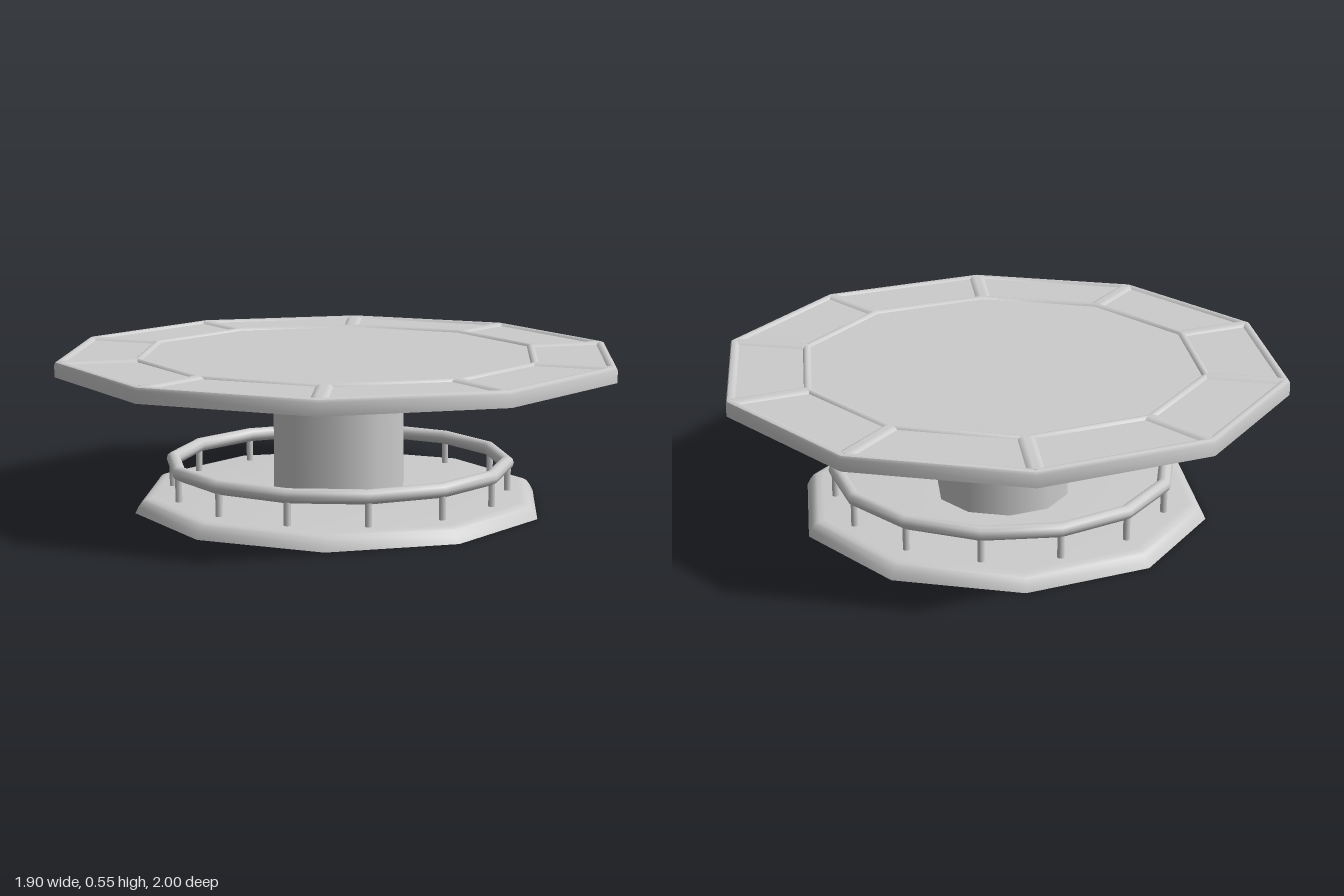
import * as THREE from 'three';
import { toCreasedNormals } from 'three/addons/utils/BufferGeometryUtils.js';

const SIDES = 10;
const POSTS = 14;
const CREASE = 0.8;

// Decagonal surface turned from [radius, y] points, a corner facing +z
function decagon(points) {
  const profile = points.map(([r, y]) => new THREE.Vector2(r, y));
  return toCreasedNormals(new THREE.LatheGeometry(profile, SIDES), CREASE);
}

export function createModel() {
  const model = new THREE.Group();
  const grey = new THREE.MeshStandardMaterial({ color: 0xcccccc });
  const open = new THREE.MeshStandardMaterial({ color: 0xcccccc, side: THREE.DoubleSide });

  const add = (name, geometry, material, parent = model) => {
    const mesh = new THREE.Mesh(geometry, material);
    mesh.name = name;
    parent.add(mesh);
    return mesh;
  };

  // Table top: rounded rim, sunken border, rounded inner ring, sunken centre
  add('tableTop', decagon([
    [0, 0.49], [1, 0.49], [1, 0.532], [0.996, 0.541], [0.985, 0.545], [0.974, 0.543], [0.967, 0.536],
    [0.729, 0.536], [0.723, 0.543], [0.7145, 0.545], [0.706, 0.543], [0.7, 0.536], [0, 0.536],
  ]), grey);

  // Rounded dividers between the border panels, one at each corner
  const section = new THREE.Shape([
    [-0.028, 0.53], [0.028, 0.53], [0.028, 0.536], [0.02, 0.542], [0.008, 0.5447],
    [-0.008, 0.5447], [-0.02, 0.542], [-0.028, 0.536],
  ].map(([x, y]) => new THREE.Vector2(x, y)));
  const dividerGeometry = toCreasedNormals(
    new THREE.ExtrudeGeometry(section, { depth: 0.265, bevelEnabled: false }), CREASE);
  dividerGeometry.translate(0, 0, 0.714);
  const dividers = new THREE.Group();
  dividers.name = 'panelDividers';
  model.add(dividers);
  for (let i = 0; i < SIDES; i++) {
    add('panelDivider', dividerGeometry, grey, dividers).rotation.y = (i / SIDES) * Math.PI * 2;
  }

  // Hollow pedestal column between base and table top
  const column = new THREE.CylinderGeometry(0.238, 0.238, 0.44, SIDES, 1, true);
  add('column', column, open).position.y = 0.27;

  // Base: a shell open underneath, with a hole below the column
  add('base', decagon([
    [0.733, 0], [0.722, 0.022], [0.708, 0.041], [0.695, 0.048], [0.672, 0.051], [0.237, 0.051],
  ]), open);

  // Foot rail
  const rail = new THREE.TorusGeometry(0.595, 0.025, 10, POSTS);
  rail.rotateX(Math.PI / 2);
  add('footRail', rail, grey).position.y = 0.15;

  // Posts under the rail corners, their feet just piercing the base
  const postGeometry = new THREE.CylinderGeometry(0.012, 0.012, 0.095, 10);
  const posts = new THREE.Group();
  posts.name = 'railPosts';
  model.add(posts);
  for (let i = 0; i < POSTS; i++) {
    const a = (i / POSTS) * Math.PI * 2;
    add('railPost', postGeometry, grey, posts).position.set(0.598 * Math.cos(a), 0.0935, 0.598 * Math.sin(a));
  }

  return model;
}
